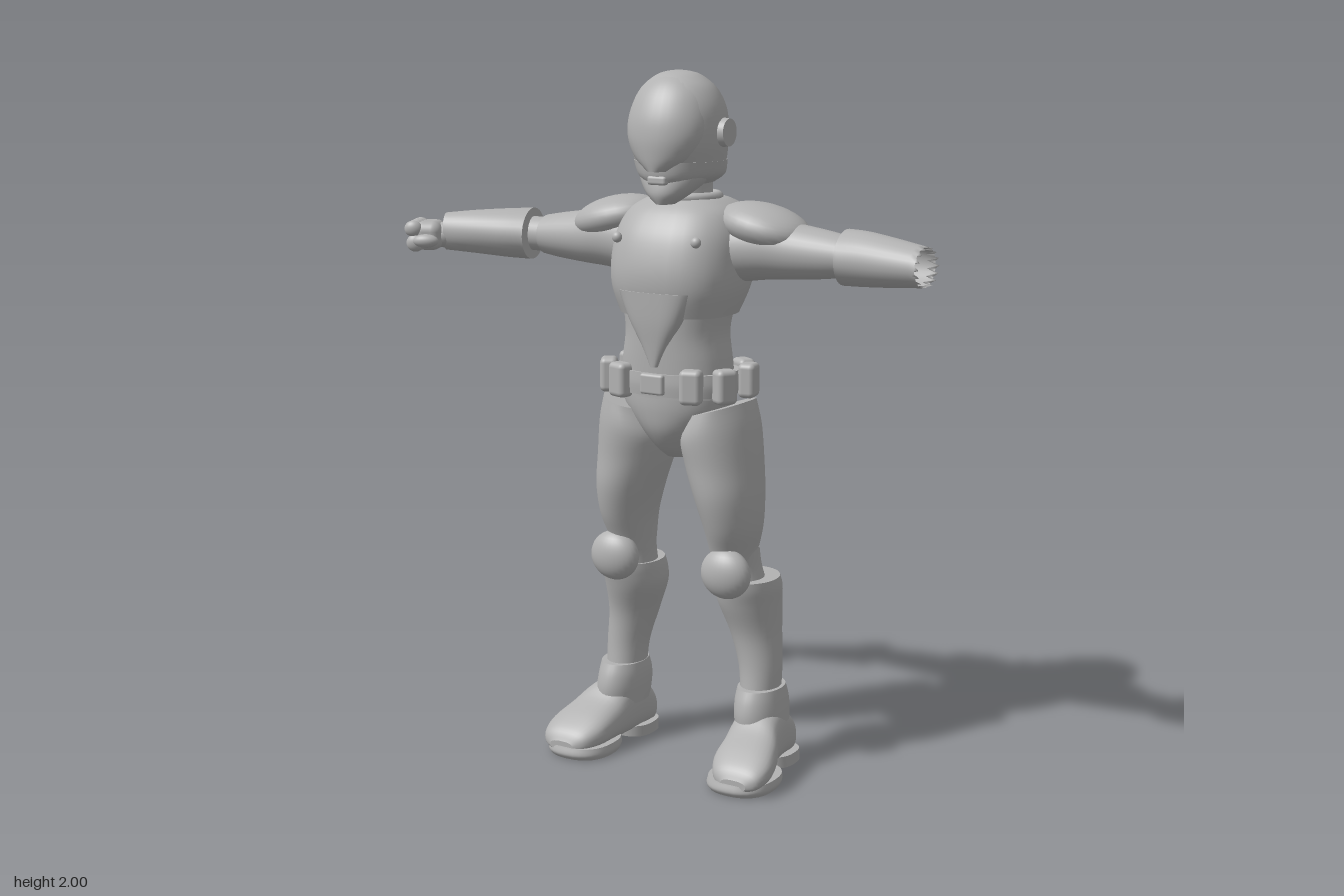
import * as THREE from 'three';
import { RoundedBoxGeometry } from 'three/addons/geometries/RoundedBoxGeometry.js';

const armor = new THREE.MeshStandardMaterial({ color: 0xb2b2b2, side: THREE.DoubleSide });
armor.name = 'grey armor';

const SEG = 32, STEPS = 5;

// Smooth tube through cross-sections [t, uMin, uMax, vMin, vMax, tilt].
// (u, v) is (x, z) along y, (z, y) along x and (y, x) along z.
function loft(axis, rows, { power = 2, openEnd = false, teeth = 0 } = {}) {
  rows = rows.map(r => [...r, 0].slice(0, 6)).sort((a, b) => a[0] - b[0]);
  const rings = [];
  const spline = (a, b, c, d, f) => b + 0.5 * f * (c - a + f * (2 * a - 5 * b + 4 * c - d + f * (3 * (b - c) + d - a)));
  for (let i = 0; i < rows.length - 1; i++) {
    const q = [rows[Math.max(i - 1, 0)], rows[i], rows[i + 1], rows[Math.min(i + 2, rows.length - 1)]];
    for (let s = 0; s < STEPS; s++) rings.push(q[1].map((_, k) => spline(q[0][k], q[1][k], q[2][k], q[3][k], s / STEPS)));
  }
  rings.push(rows[rows.length - 1]);
  const pos = [], index = [];
  const put = (t, u, v) => pos.push(...(axis === 'y' ? [u, t, v] : axis === 'x' ? [t, v, u] : [v, u, t]));
  const bend = c => Math.sign(c) * Math.abs(c) ** (2 / power);
  const ring = (r, jag) => {
    for (let j = 0; j < SEG; j++) {
      const a = j / SEG * Math.PI * 2;
      const du = bend(Math.cos(a)) * (r[2] - r[1]) / 2, dv = bend(Math.sin(a)) * (r[4] - r[3]) / 2;
      put(r[0] + r[5] * du + (j % 2 ? -jag : 0), (r[1] + r[2]) / 2 + du, (r[3] + r[4]) / 2 + dv);
    }
  };
  rings.forEach((r, i) => ring(r, i === rings.length - 1 ? teeth : 0));
  for (let i = 0; i < rings.length - 1; i++) for (let j = 0; j < SEG; j++) {
    const a = i * SEG + j, b = i * SEG + (j + 1) % SEG;
    index.push(a, a + SEG, b, b, a + SEG, b + SEG);
  }
  // flat caps with their own corners so the rims stay sharp
  const cap = (r, top) => {
    const base = pos.length / 3;
    ring(r, 0);
    put(r[0], (r[1] + r[2]) / 2, (r[3] + r[4]) / 2);
    for (let j = 0; j < SEG; j++) {
      const a = base + j, b = base + (j + 1) % SEG;
      index.push(base + SEG, top ? b : a, top ? a : b);
    }
  };
  cap(rings[0], false);
  if (!openEnd) cap(rings[rings.length - 1], true);
  const g = new THREE.BufferGeometry();
  g.setAttribute('position', new THREE.Float32BufferAttribute(pos, 3));
  g.setIndex(index);
  g.computeVertexNormals();
  return g;
}

export function createModel() {
  const model = new THREE.Group();
  const body = new THREE.Group();
  body.name = 'body';
  body.position.x = 0.061;
  model.add(body);

  const add = (name, geometry, x = 0, y = 0, z = 0, parent = body) => {
    const m = new THREE.Mesh(geometry, armor);
    m.name = name;
    m.position.set(x, y, z);
    parent.add(m);
    return m;
  };
  const ball = (name, x, y, z, rx, ry, rz, parent) =>
    add(name, new THREE.SphereGeometry(1, 28, 18).scale(rx, ry, rz), x, y, z, parent);
  // rows [y, halfWidth, zBack, zFront, tilt] centred on the body
  const centred = rows => rows.map(([y, w, b, f, k = 0]) => [y, -w, w, b, f, k]);

  // Helmet
  add('helmet', loft('y', centred([
    [1.755, 0.126, -0.125, 0.14], [1.80, 0.134, -0.127, 0.155], [1.86, 0.136, -0.125, 0.158], [1.91, 0.127, -0.112, 0.145],
    [1.955, 0.102, -0.083, 0.118], [1.985, 0.065, -0.045, 0.08], [1.996, 0.035, -0.015, 0.05], [2.0, 0.004, 0.015, 0.023],
  ])));
  add('jaw', loft('y', [
    [1.69, -0.075, 0.075, -0.125, 0.125], [1.715, -0.112, 0.112, -0.137, 0.137], [1.755, -0.126, 0.126, -0.127, 0.142],
  ], { power: 2.1 }));
  add('chin', loft('y', centred([
    [1.638, 0.025, 0.05, 0.122], [1.665, 0.062, 0.01, 0.132], [1.70, 0.095, -0.04, 0.128], [1.73, 0.11, -0.06, 0.12],
  ])));
  add('visor', loft('y', centred([
    [1.73, 0.035, 0.05, 0.16], [1.765, 0.088, 0, 0.166], [1.82, 0.117, -0.02, 0.169], [1.88, 0.12, -0.04, 0.16],
    [1.94, 0.1, -0.04, 0.132], [1.98, 0.06, -0.03, 0.09], [1.999, 0.005, 0.01, 0.025],
  ])));
  add('mouthGuard', new RoundedBoxGeometry(0.06, 0.025, 0.03, 2, 0.008), 0, 1.705, 0.125);
  add('neck', loft('y', centred([[1.60, 0.085, -0.11, 0.065], [1.66, 0.075, -0.1, 0.055], [1.74, 0.075, -0.1, 0.06]])));
  const collar = add('collar', new THREE.TorusGeometry(0.082, 0.014, 10, 32).rotateX(Math.PI / 2), 0, 1.652, -0.025);
  collar.scale.set(1.1, 1, 1);

  // Torso
  add('chestPlate', loft('y', centred([
    [1.33, 0.163, -0.135, 0.155], [1.40, 0.188, -0.17, 0.174], [1.47, 0.196, -0.197, 0.174], [1.55, 0.19, -0.208, 0.152],
    [1.61, 0.165, -0.19, 0.112], [1.642, 0.12, -0.145, 0.072], [1.655, 0.08, -0.1, 0.045],
  ]), { power: 2.5 }));
  add('abdomen', loft('y', centred([
    [1.10, 0.168, -0.112, 0.145], [1.20, 0.158, -0.108, 0.15], [1.28, 0.146, -0.113, 0.153], [1.36, 0.158, -0.13, 0.155],
  ]), { power: 2.3 }));
  add('sternumPlate', loft('y', centred([
    [1.19, 0.015, 0.08, 0.157], [1.25, 0.045, 0.08, 0.164], [1.32, 0.085, 0.08, 0.172], [1.40, 0.12, 0.07, 0.176],
  ]), { power: 3 }));

  // Belt and pelvis
  add('belt', loft('y', centred([[1.108, 0.18, -0.12, 0.153], [1.14, 0.183, -0.122, 0.156], [1.172, 0.178, -0.12, 0.155]]), { power: 2.3 }));
  add('buckle', new RoundedBoxGeometry(0.075, 0.058, 0.025, 3, 0.008), 0, 1.143, 0.155);
  add('pelvis', loft('y', centred([
    [0.915, 0.04, -0.05, 0.05], [0.945, 0.068, -0.105, 0.09], [1.0, 0.115, -0.135, 0.128], [1.06, 0.16, -0.13, 0.142], [1.12, 0.172, -0.115, 0.145],
  ])));

  for (const s of [1, -1]) {
    const side = s > 0 ? 'left' : 'right';
    const span = (a, b) => s > 0 ? [a, b] : [-b, -a];
    // rows [y, inner, outer, zBack, zFront, tilt]
    const limb = rows => rows.map(([y, a, b, z0, z1, k = 0]) => [y, ...span(a, b), z0, z1, s * k]);

    const ear = add(side + 'EarDisc', new THREE.CylinderGeometry(0.038, 0.042, 0.04, 28), s * 0.132, 1.833, 0);
    ear.rotation.z = -s * Math.PI / 2;
    ball(side + 'ChestStud', s * 0.127, 1.543, 0.138, 0.015, 0.015, 0.013);

    // Belt pouches
    [[0.115, 0.14, 0.3], [0.19, 0.085, 1.05], [0.196, -0.04, 1.75], [0.145, -0.1, 2.6]].forEach(([x, z, turn]) => {
      const pouch = add(side + 'Pouch', new RoundedBoxGeometry(0.063, 0.098, 0.05, 4, 0.015), s * x, 1.143, z);
      pouch.rotation.y = s * turn;
    });

    // Leg
    add(side + 'Thigh', loft('y', limb([
      [0.62, 0.11, 0.228, -0.09, 0.065], [0.66, 0.106, 0.236, -0.096, 0.078], [0.73, 0.096, 0.252, -0.106, 0.108],
      [0.82, 0.07, 0.257, -0.117, 0.132], [0.91, 0.04, 0.252, -0.126, 0.138], [1.0, 0.03, 0.241, -0.13, 0.145, 0.2], [1.07, 0.07, 0.222, -0.115, 0.135, 0.3],
    ])));
    add(side + 'Knee', loft('y', limb([[0.52, 0.11, 0.26, -0.12, 0.035], [0.60, 0.115, 0.24, -0.1, 0.04], [0.66, 0.11, 0.235, -0.095, 0.06]])));
    ball(side + 'KneePad', s * 0.186, 0.602, 0.065, 0.077, 0.073, 0.048);
    add(side + 'Shin', loft('y', limb([
      [0.20, 0.175, 0.285, -0.135, 0.005], [0.30, 0.165, 0.288, -0.14, -0.003], [0.40, 0.135, 0.282, -0.156, 0.005],
      [0.49, 0.103, 0.284, -0.166, 0.035], [0.54, 0.1, 0.287, -0.163, 0.05], [0.572, 0.104, 0.284, -0.15, 0.054],
    ])));
    add(side + 'AnkleCuff', loft('y', limb([
      [0.12, 0.17, 0.31, -0.165, 0.04], [0.17, 0.165, 0.308, -0.17, 0.043], [0.21, 0.165, 0.304, -0.165, 0.036], [0.245, 0.17, 0.298, -0.15, 0.022],
    ])));
    // Boot, sections along z as [z, bottom, top, inner, outer]
    add(side + 'Boot', loft('z', [
      [-0.18, 0.015, 0.09, 0.2, 0.28], [-0.15, 0.015, 0.14, 0.178, 0.304], [-0.08, 0.015, 0.19, 0.175, 0.312], [0, 0.015, 0.182, 0.175, 0.33],
      [0.06, 0.015, 0.145, 0.18, 0.355], [0.13, 0.015, 0.112, 0.188, 0.372], [0.18, 0.015, 0.08, 0.215, 0.362], [0.2, 0.02, 0.05, 0.25, 0.33],
    ].map(([z, y0, y1, a, b]) => [z, y0, y1, ...span(a, b)]), { power: 2.5 }));
    add(side + 'Sole', loft('y', limb([[0, 0.178, 0.365, 0, 0.2], [0.015, 0.172, 0.372, -0.01, 0.21], [0.035, 0.175, 0.37, -0.01, 0.205]]), { power: 2.4 }));
    add(side + 'Heel', loft('y', limb([[0, 0.17, 0.318, -0.193, -0.045], [0.035, 0.168, 0.318, -0.19, -0.04]]), { power: 2.6 }));

    // Upper arm, sections along x as [x, zBack, zFront, bottom, top]
    add(side + 'UpperArm', loft('x', [
      [0.12, -0.15, 0.06, 1.41, 1.605], [0.25, -0.14, 0.05, 1.43, 1.61], [0.34, -0.125, 0.038, 1.437, 1.592],
      [0.43, -0.117, 0.027, 1.445, 1.578], [0.485, -0.108, 0.02, 1.453, 1.568],
    ].map(([x, ...r]) => [s * x, ...r])));
    add(side + 'Elbow', loft('x', [[0.46, -0.095, 0.01, 1.46, 1.56], [0.54, -0.095, 0.01, 1.46, 1.56]].map(([x, ...r]) => [s * x, ...r])));
    const pad = ball(side + 'ShoulderPad', s * 0.24, 1.577, -0.045, 0.137, 0.062, 0.112);
    pad.rotation.z = -s * 0.22;
  }

  // Right forearm, angled forward, with a closed fist
  add('rightForearm', loft('x', [
    [-0.535, -0.135, 0.058, 1.435, 1.585, 0.27], [-0.6, -0.09, 0.078, 1.44, 1.583, 0.32],
    [-0.69, -0.028, 0.1, 1.45, 1.577, 0.38], [-0.772, 0.028, 0.115, 1.458, 1.568, 0.42],
  ]));
  const hand = new THREE.Group();
  hand.name = 'rightHand';
  hand.position.set(-0.8, 1.503, 0.097);
  hand.rotation.y = 0.42;
  body.add(hand);
  ball('wrist', 0.035, 0, -0.005, 0.05, 0.038, 0.042, hand);
  add('palm', new RoundedBoxGeometry(0.085, 0.085, 0.112, 4, 0.03), -0.01, 0, 0, hand);
  for (let i = 0; i < 4; i++) {
    const z = -0.045 + i * 0.03;
    ball('knuckle', -0.05, 0.022, z, 0.027, 0.024, 0.018, hand);
    ball('fingertip', -0.045, -0.02, z, 0.027, 0.026, 0.018, hand);
  }
  ball('thumb', -0.01, -0.012, 0.06, 0.038, 0.02, 0.02, hand);

  // Left forearm, hollow with a jagged end
  add('leftForearm', loft('x', [
    [0.49, -0.148, 0.052, 1.432, 1.585, 0.1], [0.56, -0.125, 0.055, 1.435, 1.583, 0.05],
    [0.66, -0.096, 0.06, 1.442, 1.57], [0.752, -0.072, 0.06, 1.45, 1.555],
  ], { openEnd: true, teeth: 0.035 }));

  return model;
}
